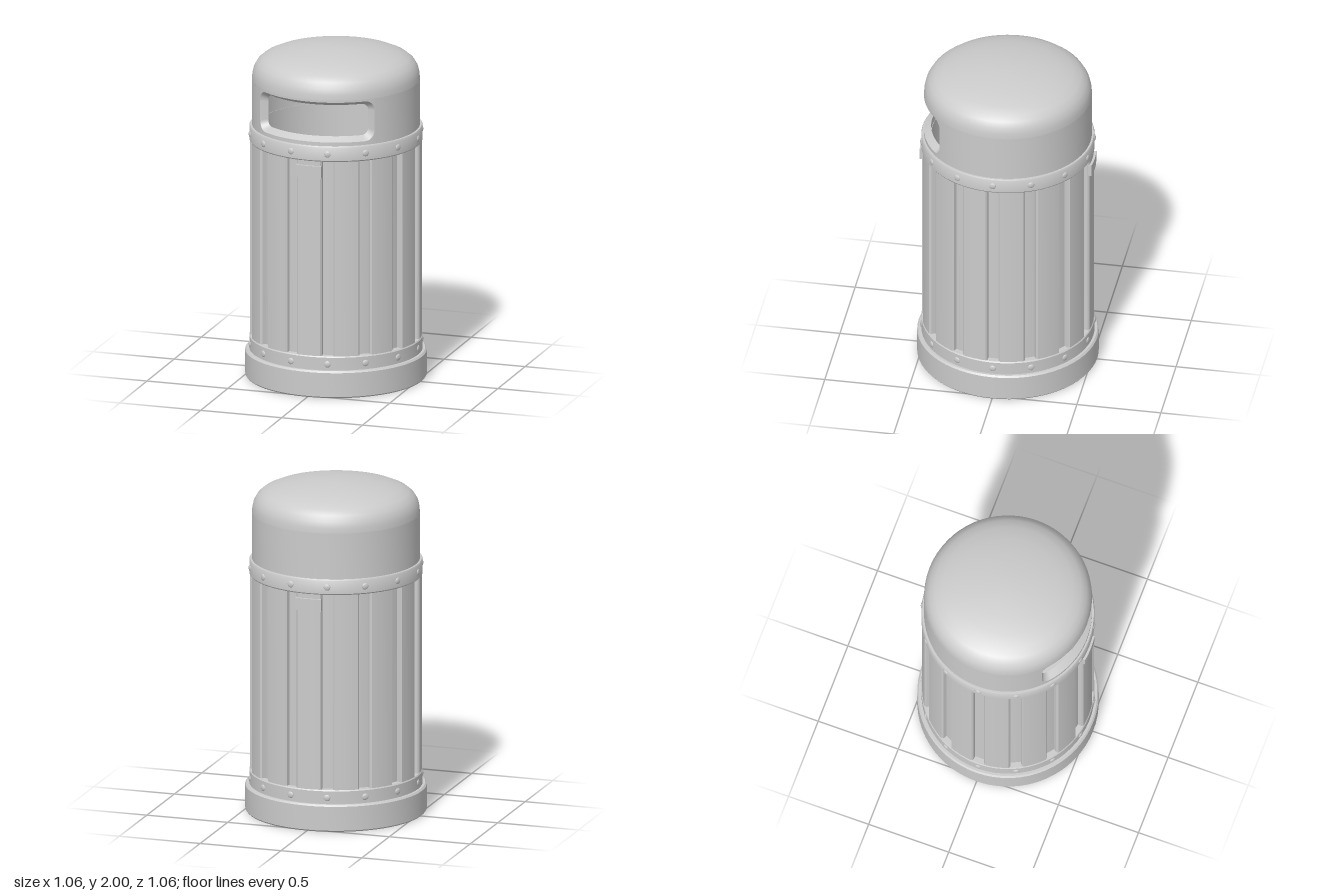
import * as THREE from 'three';
import { toCreasedNormals } from 'three/addons/utils/BufferGeometryUtils.js';

const SLATS = 14;
const R_OUT = 0.492, R_IN = 0.45; // hood wall radii
const Y_LOW = 1.52, Y_HIGH = 1.8; // hood wall heights
const material = new THREE.MeshStandardMaterial({ color: 0xcccccc, side: THREE.DoubleSide });

const polar = (r, t, y) => new THREE.Vector3(r * Math.sin(t), y, r * Math.cos(t));

function add(group, name, geometry) {
  const mesh = new THREE.Mesh(geometry, material);
  mesh.name = name;
  group.add(mesh);
  return mesh;
}

// Turned part from [radius, y] pairs, with sharp profile corners
function turned(pairs, segments = 64, start = 0, length = Math.PI * 2) {
  const pts = pairs.map(([r, y]) => new THREE.Vector2(r, y));
  return toCreasedNormals(new THREE.LatheGeometry(pts, segments, start, length), 0.6);
}

// Skin joining rows of points
function skin(rows) {
  const n = rows[0].length, index = [];
  for (let i = 0; i < rows.length - 1; i++) {
    for (let j = 0; j < n - 1; j++) {
      const a = i * n + j, b = a + n;
      index.push(a, a + 1, b, b, a + 1, b + 1);
    }
  }
  const g = new THREE.BufferGeometry().setFromPoints(rows.flat());
  g.setIndex(index);
  g.computeVertexNormals();
  return g;
}

// Curved plate: an arc of wall between two radii, extruded upward
function arcPlate(half, rIn, rOut, y0, y1, round = 0) {
  const s = new THREE.Shape(), n = 8;
  const p = (r, t) => [r * Math.sin(t), -r * Math.cos(t)];
  s.moveTo(...p(rIn, -half));
  if (round) s.lineTo(...p(rOut - round, -half));
  const inner = half - round / rOut;
  for (let i = 0; i <= n; i++) s.lineTo(...p(rOut, inner * (2 * i / n - 1)));
  if (round) s.lineTo(...p(rOut - round, half));
  for (let i = 0; i <= n; i++) s.lineTo(...p(rIn, half * (1 - 2 * i / n)));
  const g = new THREE.ExtrudeGeometry(s, { depth: y1 - y0, bevelEnabled: false });
  g.rotateX(-Math.PI / 2).translate(0, y0, 0);
  return toCreasedNormals(g, 0.5);
}

// Columns of a rounded opening: angle, lower edge and upper edge
function openingColumns(half, y0, y1, corner, r) {
  const cols = [], n = 6, c = corner / r;
  const corners = (side) => {
    for (let i = 0; i <= n; i++) {
      const k = side < 0 ? i : n - i, a = k / n * Math.PI / 2;
      const dy = corner * (1 - Math.sin(a));
      cols.push({ t: side * (half - c * (1 - Math.cos(a))), low: y0 + dy, high: y1 - dy });
    }
  };
  corners(-1);
  for (let i = 1; i < 20; i++) cols.push({ t: (half - c) * (i / 10 - 1), low: y0, high: y1 });
  corners(1);
  return cols;
}

// Closed outline of an opening at a given radius
function outline(cols, r) {
  const pts = cols.map((c) => polar(r, c.t, c.high));
  for (const c of [...cols].reverse()) pts.push(polar(r, c.t, c.low));
  pts.push(pts[0].clone());
  return pts;
}

// Hood wall: full ring except the front, and strips above and below the opening
function hoodWall(group, name, r, cols) {
  const half = cols[cols.length - 1].t;
  add(group, name + 'Back', turned([[r, Y_LOW], [r, Y_HIGH]], 56, half, Math.PI * 2 - 2 * half));
  const row = (y) => cols.map((c) => polar(r, c.t, y(c)));
  add(group, name + 'AboveOpening', skin([row((c) => c.high), row(() => Y_HIGH)]));
  add(group, name + 'BelowOpening', skin([row(() => Y_LOW), row((c) => c.low)]));
}

function makeHood() {
  const hood = new THREE.Group();
  hood.name = 'hood';
  const outer = openingColumns(0.8, 1.545, 1.787, 0.06, R_OUT);
  const inner = openingColumns(0.755, 1.572, 1.762, 0.04, R_IN);
  hoodWall(hood, 'outerWall', R_OUT, outer);
  hoodWall(hood, 'innerWall', R_IN, inner);
  add(hood, 'openingRim', skin([outline(outer, R_OUT), outline(inner, R_IN)]));
  add(hood, 'dome', turned([[R_OUT, Y_HIGH], [0.49, 1.83], [0.482, 1.865], [0.462, 1.9],
    [0.43, 1.927], [0.38, 1.949], [0.3, 1.971], [0.2, 1.987], [0.1, 1.997], [0, 2]]));
  add(hood, 'domeLining', turned([[R_IN, Y_HIGH], [0.44, 1.85], [0.39, 1.905], [0.2, 1.95], [0, 1.96]]));
  return hood;
}

function makeBody() {
  const body = new THREE.Group();
  body.name = 'body';
  add(body, 'innerDrum', turned([[0.47, 0.16], [0.47, 1.5]]));
  add(body, 'liner', turned([[0, 0.2], [0.45, 0.2], [0.45, 1.52]]));
  add(body, 'lowerBand', turned([[0.46, 0.16], [0.508, 0.16], [0.508, 0.24], [0.503, 0.247], [0.46, 0.247]]));
  add(body, 'upperBand', turned([[0.46, 1.43], [0.503, 1.43], [0.508, 1.437], [0.508, 1.515], [0.503, 1.523], [0.448, 1.523]]));

  // Upright slats, with a bolt on each band between them
  const slat = arcPlate(0.158, 0.46, 0.503, 0.235, 1.44, 0.01);
  const bolt = new THREE.SphereGeometry(0.02, 12, 6, 0, Math.PI * 2, 0, Math.PI / 2);
  bolt.rotateX(Math.PI / 2).scale(1, 1, 0.4);
  for (let i = 0; i < SLATS; i++) {
    const t = i / SLATS * Math.PI * 2;
    add(body, 'slat', slat).rotation.y = t;
    const tb = t + Math.PI / SLATS;
    for (const y of [0.2, 1.477]) {
      const b = add(body, 'bolt', bolt);
      b.position.copy(polar(0.507, tb, y));
      b.rotation.y = tb;
    }
  }

  // Small plates on front and back
  const plate = arcPlate(0.155, 0.49, 0.517, 1.33, 1.403);
  add(body, 'frontPlate', plate);
  add(body, 'backPlate', plate).rotation.y = Math.PI;
  return body;
}

export function createModel() {
  const model = new THREE.Group();
  model.name = 'litterBin';
  add(model, 'base', turned([[0, 0], [0.525, 0], [0.532, 0.008], [0.532, 0.153], [0.523, 0.163], [0.46, 0.163]]));
  model.add(makeBody(), makeHood());
  return model;
}
